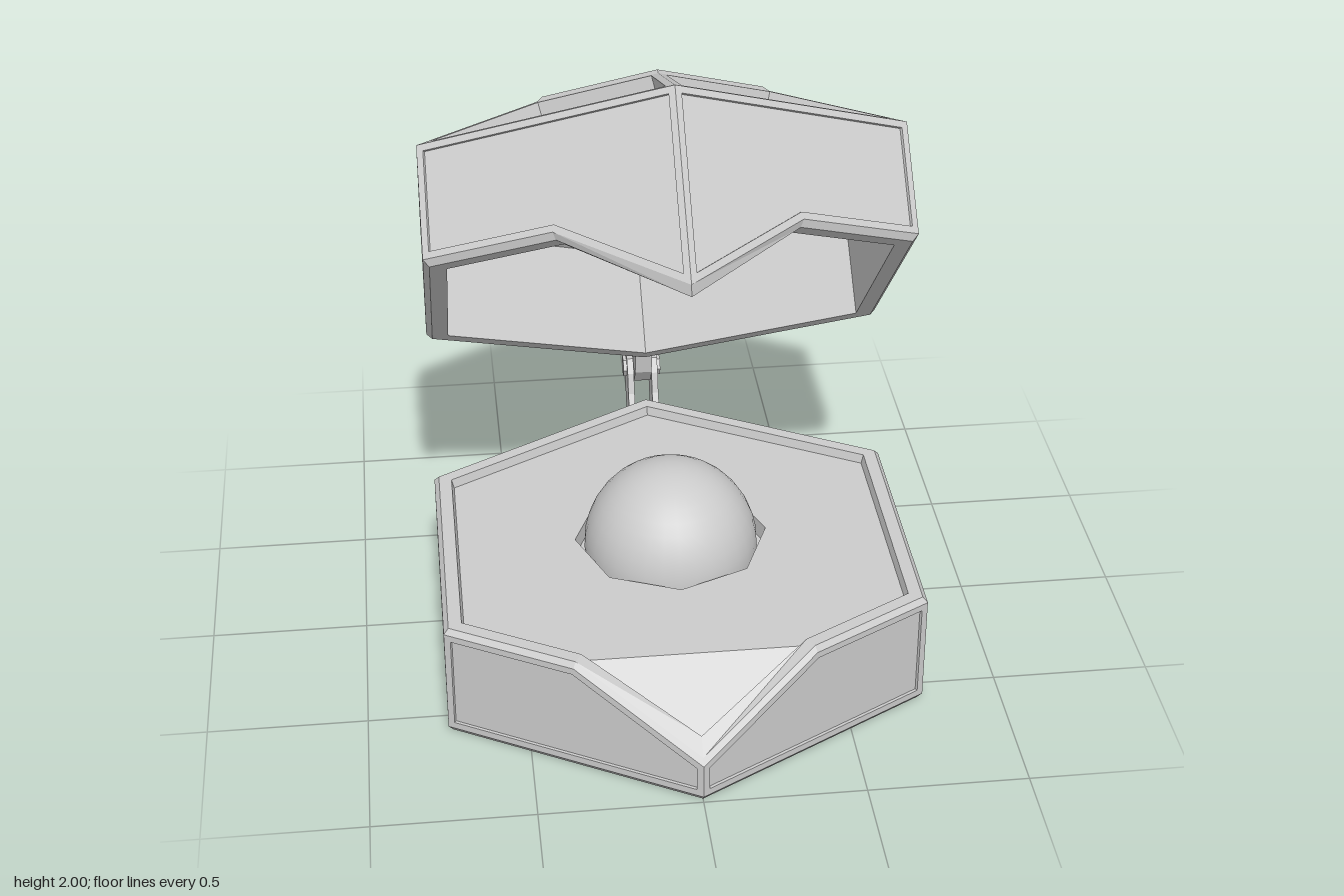
import * as THREE from 'three';

const V = (x, y, z) => new THREE.Vector3(x, y, z);
const material = new THREE.MeshStandardMaterial({ color: 0xcccccc, side: THREE.DoubleSide });

// Hexagon plan with two extra points where the front tip is notched
const HEX = [[0, 0.85], [0.75, 0.43], [0.75, -0.43], [0, -0.85], [-0.75, -0.43], [-0.75, 0.43]];
const PLAN = [HEX[0], [0.37, 0.643], ...HEX.slice(1), [-0.37, 0.643]];

const ring = (plan, s, y, drop = 0) => plan.map(([x, z], i) => V(x * s, i === 0 ? y - drop : y, z * s));

function addMesh(group, geometry, name) {
  const mesh = new THREE.Mesh(geometry, material);
  mesh.name = name;
  group.add(mesh);
  return mesh;
}

// Collects flat polygons, each turned to face a given direction
class Surface {
  constructor() { this.data = []; }

  orient(pts, toward) {
    const n = V(0, 0, 0);
    pts.forEach((p, i) => n.add(V(0, 0, 0).crossVectors(p, pts[(i + 1) % pts.length])));
    n.normalize();
    if (n.dot(toward) >= 0) return [pts, n];
    return [[pts[0], ...pts.slice(1).reverse()], n.negate()];
  }

  face(pts, toward) {
    const [p] = this.orient(pts, toward);
    for (let i = 1; i < p.length - 1; i++) {
      for (const q of [p[0], p[i], p[i + 1]]) this.data.push(q.x, q.y, q.z);
    }
  }

  // Band between two matching rings; side = 1 faces out, -1 in, vertical tips it up or down
  band(a, b, side, vertical = 0) {
    a.forEach((p, i) => {
      const j = (i + 1) % a.length;
      const mid = p.clone().add(a[j]).setY(0).normalize().multiplyScalar(side);
      const toward = mid.setY(vertical);
      this.face([p, a[j], b[j]], toward);
      this.face([p, b[j], b[i]], toward);
    });
  }

  // Raised border around a sunken panel
  framed(pts, toward, width, depth) {
    const [p, n] = this.orient(pts, toward);
    const count = p.length;
    const inset = p.map((q, i) => {
      const e1 = q.clone().sub(p[(i + count - 1) % count]).normalize();
      const e2 = p[(i + 1) % count].clone().sub(q).normalize();
      const d1 = n.clone().cross(e1);
      const d2 = n.clone().cross(e2);
      return q.clone().addScaledVector(d1.clone().add(d2), width / (1 + d1.dot(d2)));
    });
    const sunk = inset.map((q) => q.clone().addScaledVector(n, -depth(q)));
    p.forEach((q, i) => {
      const j = (i + 1) % count;
      this.face([q, p[j], inset[j], inset[i]], n);
      const wall = n.clone().cross(p[j].clone().sub(q).normalize()).add(n);
      this.face([inset[i], inset[j], sunk[j], sunk[i]], wall);
    });
    this.face(sunk, n);
  }

  // Six outer walls between a plain hexagon and the notched rim
  walls(hex, rim) {
    const shallow = () => 0.01;
    for (let k = 0; k < 6; k++) {
      const l = (k + 1) % 6;
      const toward = hex[k].clone().add(hex[l]).setY(0).normalize();
      let pts;
      if (k === 0) pts = [rim[1], rim[2], hex[1], hex[0], rim[0]];
      else if (k === 5) pts = [rim[7], rim[6], hex[5], hex[0], rim[0]];
      else pts = [rim[k + 1], rim[k + 2], hex[l], hex[k]];
      this.framed(pts, toward, 0.022, shallow);
    }
  }

  geometry() {
    const g = new THREE.BufferGeometry();
    g.setAttribute('position', new THREE.Float32BufferAttribute(this.data, 3));
    g.computeVertexNormals();
    return g;
  }
}

function makeBase() {
  const base = new THREE.Group();
  base.name = 'base';
  const up = V(0, 1, 0);
  const s = new Surface();
  const foot = ring(HEX, 0.98, 0);
  const low = ring(HEX, 1, 0.02);
  const rim = ring(PLAN, 1, 0.375, 0.24);
  const lip = ring(PLAN, 0.98, 0.392, 0.235);
  const inner = ring(PLAN, 0.925, 0.392, 0.19);
  const floor = ring(PLAN, 0.915, 0.362, 0.19);
  s.face(foot, V(0, -1, 0));
  s.band(foot, low, 1, -1);
  s.walls(low, rim);
  s.band(rim, lip, 1, 1);
  s.band(lip, inner, 0, 1);
  s.band(inner, floor, -1, 0.1);
  s.face([floor[7], floor[0], floor[1]], up); // sloping front of the floor
  addMesh(base, s.geometry(), 'baseShell');

  // Flat floor with an eight-sided socket
  const shape = new THREE.Shape(floor.slice(1).map((p) => new THREE.Vector2(p.x, -p.z)));
  const hole = [];
  for (let i = 0; i < 8; i++) {
    const a = (i * Math.PI) / 4;
    hole.push(new THREE.Vector2(0.31 * Math.cos(a), 0.05 + 0.31 * Math.sin(a)));
  }
  shape.holes.push(new THREE.Path(hole));
  addMesh(base, new THREE.ShapeGeometry(shape).rotateX(-Math.PI / 2), 'floor').position.y = 0.362;
  const socket = new THREE.CylinderGeometry(0.31, 0.31, 0.06, 8, 1, true).toNonIndexed();
  socket.computeVertexNormals();
  addMesh(base, socket, 'socketWall').position.set(0, 0.332, -0.05);
  addMesh(base, new THREE.CircleGeometry(0.31, 8).rotateX(-Math.PI / 2), 'socketFloor').position.set(0, 0.302, -0.05);
  addMesh(base, new THREE.SphereGeometry(0.28, 32, 20), 'ball').position.set(0, 0.335, -0.05);
  base.position.z = 0.15;
  return base;
}

function makeLid() {
  const lid = new THREE.Group();
  lid.name = 'lid';
  const s = new Surface();
  const top = ring(HEX, 1, 0.38);
  const crown = ring(HEX, 0.49, 0.58);
  const cap = ring(HEX, 0.465, 0.6);
  const rim = ring(PLAN, 1, 0.02, 0.24);
  const lip = ring(PLAN, 0.975, 0, 0.25);
  const inner = ring(PLAN, 0.905, 0, 0.23);
  const ceiling = ring(PLAN, 0.9, 0.35);
  s.walls(top, rim);
  s.band(rim, lip, 1, -1);
  s.band(lip, inner, 0, -1);
  s.band(inner, ceiling, -1);
  // Sloping panels, deepest beside the crown
  for (let k = 0; k < 6; k++) {
    const l = (k + 1) % 6;
    const toward = top[k].clone().add(top[l]).setY(1);
    s.framed([top[k], top[l], crown[l], crown[k]], toward, 0.024, (p) => (p.y > 0.48 ? 0.045 : 0.008));
  }
  s.band(crown, cap, 1, 1);
  s.framed(cap, V(0, 1, 0), 0.02, () => 0.012);
  addMesh(lid, s.geometry(), 'lidShell');

  // Smooth vaulted ceiling inside the lid
  const points = [...ring(HEX, 0.9, 0.35), ...ring(HEX, 0.45, 0.48), V(0, 0.52, 0)];
  const index = [];
  for (let k = 0; k < 6; k++) {
    const l = (k + 1) % 6;
    index.push(k, l, l + 6, k, l + 6, k + 6, k + 6, l + 6, 12);
  }
  for (let i = 0; i < index.length; i += 3) [index[i + 1], index[i + 2]] = [index[i + 2], index[i + 1]];
  const vault = new THREE.BufferGeometry().setFromPoints(points);
  vault.setIndex(index);
  vault.computeVertexNormals();
  addMesh(lid, vault, 'lidCeiling');

  lid.position.set(0, 1.13, -0.13);
  lid.rotation.x = -Math.PI / 4;
  return lid;
}

// Plate drawn in (z, y) and extruded across x
function plate(group, outline, x, thickness, name) {
  const shape = new THREE.Shape(outline.map(([z, y]) => new THREE.Vector2(z, y)));
  const g = new THREE.ExtrudeGeometry(shape, { depth: thickness, bevelEnabled: false });
  g.translate(0, 0, -thickness / 2).rotateY(-Math.PI / 2);
  addMesh(group, g, name).position.x = x;
}

function makeHinge() {
  const hinge = new THREE.Group();
  hinge.name = 'hinge';
  const arm = [[-0.67, 0.26], [-0.72, 0.3], [-0.76, 0.37], [-0.78, 0.44], [-0.81, 0.485], [-0.86, 0.485],
    [-0.895, 0.44], [-0.88, 0.36], [-0.83, 0.24], [-0.76, 0.15], [-0.72, 0.125], [-0.67, 0.12]];
  const link = [[-0.74, 0.56], [-0.755, 0.46], [-0.8, 0.4], [-0.86, 0.395], [-0.895, 0.44], [-0.895, 0.71], [-0.86, 0.72]];
  for (const side of [-1, 1]) plate(hinge, arm, side * 0.042, 0.022, 'hingeArm');
  plate(hinge, link, 0, 0.058, 'hingeLink');
  const pin = new THREE.CylinderGeometry(0.036, 0.036, 0.13, 6).toNonIndexed();
  pin.computeVertexNormals();
  addMesh(hinge, pin.rotateZ(Math.PI / 2), 'hingePin').position.set(0, 0.44, -0.84);
  return hinge;
}

export function createModel() {
  const model = new THREE.Group();
  model.name = 'hexagonalCase';
  model.add(makeBase(), makeLid(), makeHinge());
  return model;
}
